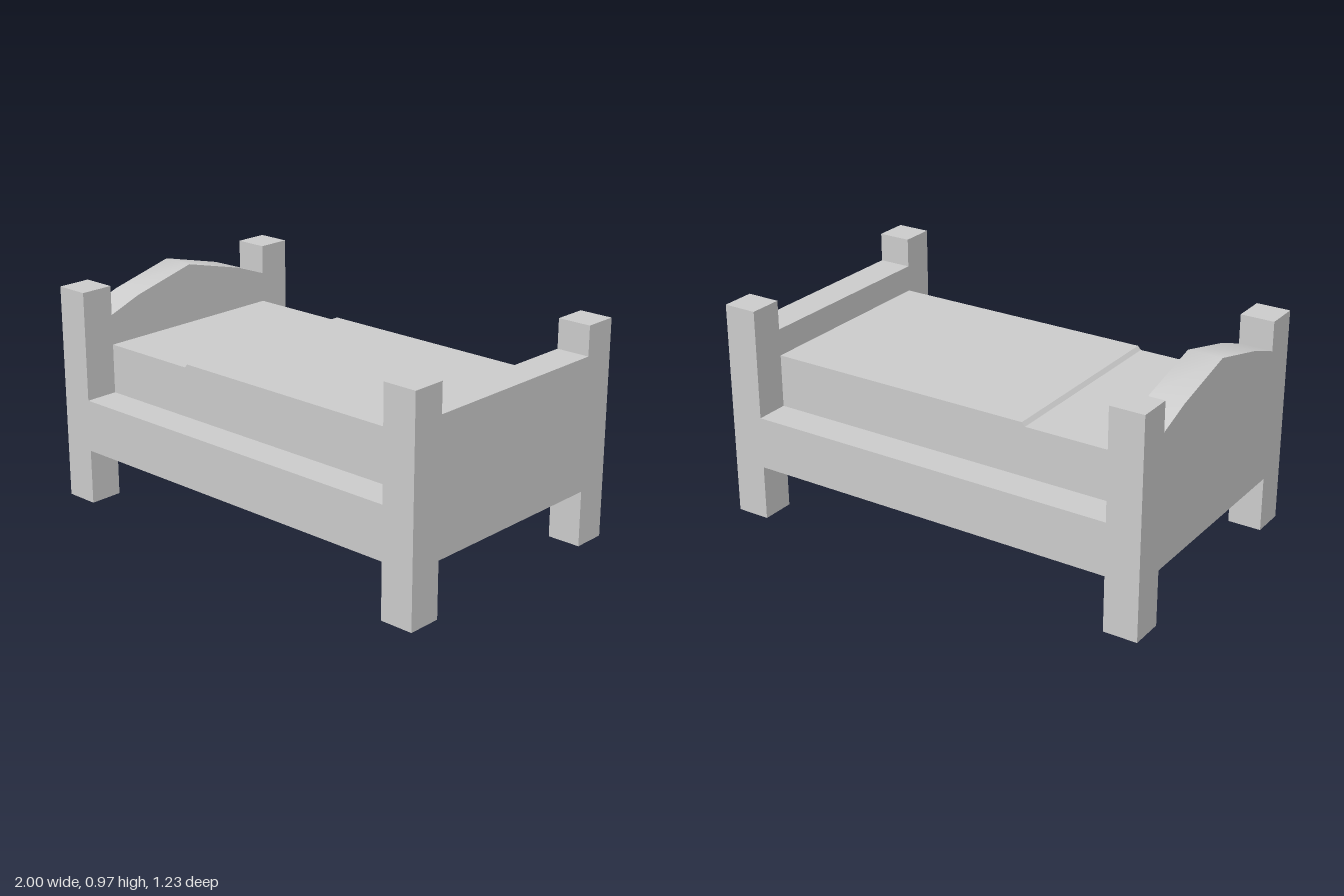
import * as THREE from 'three';
import { toCreasedNormals } from 'three/addons/utils/BufferGeometryUtils.js';

const X = 1, Z = 0.615;            // outer half length and half width
const POST = 0.152;                // post thickness
const IX = X - POST, IZ = Z - POST; // inner half length and half width
const POST_TOP = 0.965, BOARD_TOP = 0.835, BASE = 0.247, RAIL_TOP = 0.48;

export function createModel() {
  const group = new THREE.Group();
  const material = new THREE.MeshStandardMaterial({ color: 0xcccccc });

  const add = (name, geometry) => {
    const mesh = new THREE.Mesh(geometry, material);
    mesh.name = name;
    group.add(mesh);
    return mesh;
  };
  const box = (name, x0, x1, y0, y1, z0, z1) =>
    add(name, new THREE.BoxGeometry(x1 - x0, y1 - y0, z1 - z0))
      .position.set((x0 + x1) / 2, (y0 + y1) / 2, (z0 + z1) / 2);
  const extrude = (points, depth) =>
    new THREE.ExtrudeGeometry(
      new THREE.Shape(points.map(([a, b]) => new THREE.Vector2(a, b))),
      { depth, bevelEnabled: false });

  // Four corner posts
  for (const [end, sx] of [['head', -1], ['foot', 1]]) {
    for (const [side, sz] of [['Front', 1], ['Back', -1]]) {
      const cx = sx * (X - POST / 2), cz = sz * (Z - POST / 2), h = POST / 2;
      box(`${end}${side}Post`, cx - h, cx + h, 0, POST_TOP, cz - h, cz + h);
    }
  }

  // Base between the posts, with its rails flush with them
  box('bedBase', -IX, IX, BASE, RAIL_TOP, -Z, Z);

  // Flat-topped footboard
  box('footboard', IX, X, BASE, BOARD_TOP, -IZ, IZ);

  // Headboard with a softly shaded arched top
  const arch = [
    [-IZ, BASE], [IZ, BASE], [IZ, BOARD_TOP], [0.305, 0.893],
    [0, 0.97], [-0.305, 0.893], [-IZ, BOARD_TOP],
  ];
  const head = extrude(arch, POST).rotateY(Math.PI / 2).translate(-X, 0, 0);
  add('headboard', toCreasedNormals(head, 0.6));

  // Mattress, with the blanket as a small bevelled step along its top
  const bedding = [
    [-IX, RAIL_TOP], [IX, RAIL_TOP], [IX, 0.716],
    [-0.373, 0.716], [-0.388, 0.7], [-IX, 0.7],
  ];
  add('mattressAndBlanket', extrude(bedding, IZ * 2).translate(0, 0, -IZ));

  return group;
}
